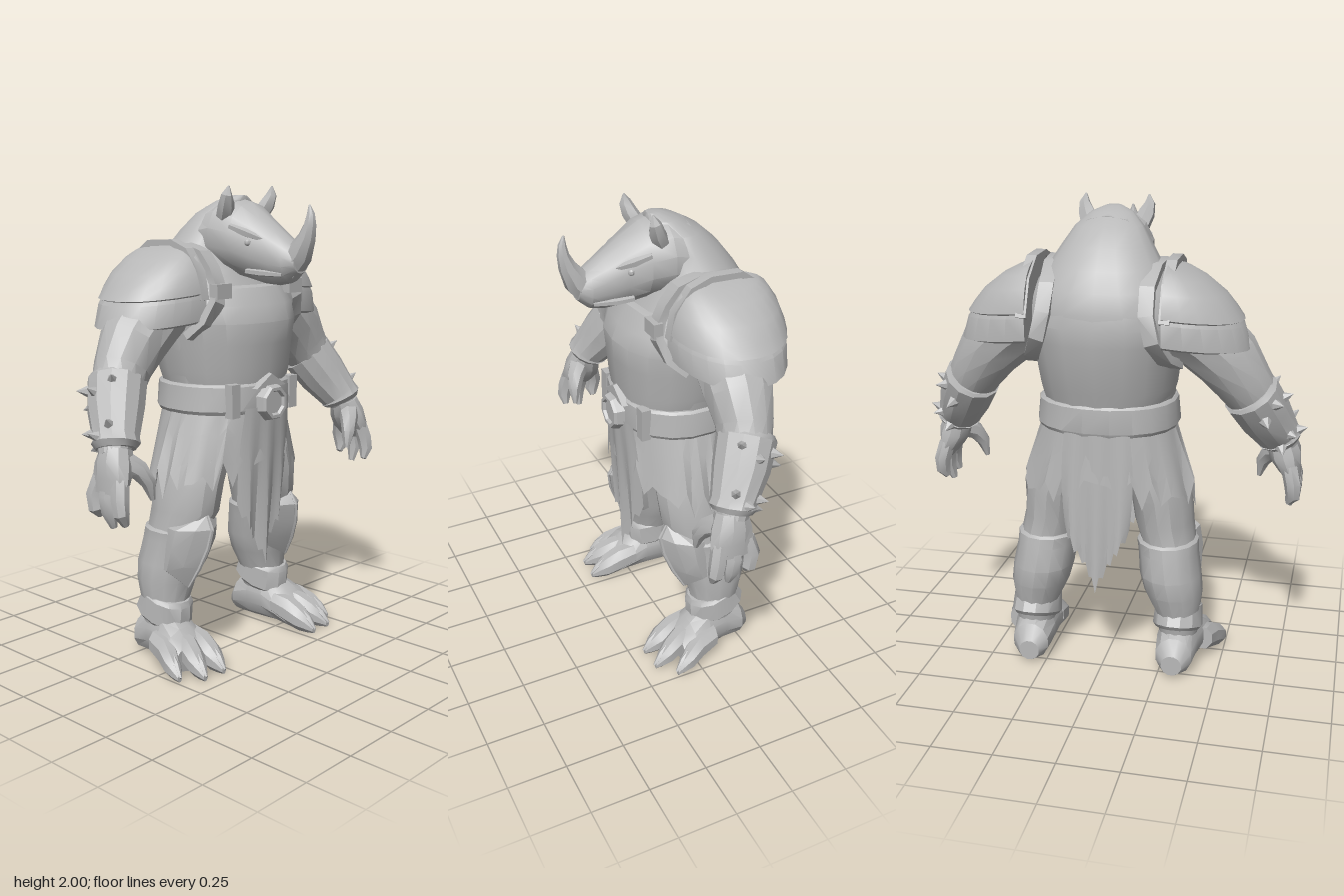
import * as THREE from 'three';
import { toCreasedNormals, mergeVertices } from 'three/addons/utils/BufferGeometryUtils.js';
import { ConvexGeometry } from 'three/addons/geometries/ConvexGeometry.js';

const V = (x, y, z) => new THREE.Vector3(x, y, z);
const UP = V(0, 1, 0), FRONT = V(0, 0, 1);
const spow = (v, p) => Math.sign(v) * Math.abs(v) ** p;

// Skin a list of rings with equal point counts; solids are turned to face outward.
function loft(rings, { closed = true, cap = true } = {}) {
  const n = rings[0].length, pos = [], idx = [];
  rings.forEach(r => r.forEach(p => pos.push(p.x, p.y, p.z)));
  for (let j = 0; j < rings.length - 1; j++) {
    for (let i = 0; i < (closed ? n : n - 1); i++) {
      const a = j * n + i, b = j * n + (i + 1) % n;
      idx.push(a, b, b + n, a, b + n, a + n);
    }
  }
  if (cap) {
    [0, rings.length - 1].forEach((j, end) => {
      const c = rings[j].reduce((s, p) => s.add(p), V(0, 0, 0)).divideScalar(n);
      const k = pos.length / 3;
      pos.push(c.x, c.y, c.z);
      for (let i = 0; i < n; i++) {
        const a = j * n + i, b = j * n + (i + 1) % n;
        end ? idx.push(k, a, b) : idx.push(k, b, a);
      }
    });
    const at = i => V(pos[3 * i], pos[3 * i + 1], pos[3 * i + 2]);
    let vol = 0;
    for (let i = 0; i < idx.length; i += 3) vol += at(idx[i]).dot(at(idx[i + 1]).cross(at(idx[i + 2])));
    if (vol < 0) idx.reverse();
  }
  const g = new THREE.BufferGeometry();
  g.setAttribute('position', new THREE.Float32BufferAttribute(pos, 3));
  g.setIndex(idx);
  return g;
}

// Elliptical sections [x, y, z, r, r2] along a path, or in planes of a fixed axis.
function limb(sections, { sides = 12, axis = null, power = 1, minY = -1 } = {}) {
  const c = sections.map(s => V(s[0], s[1], s[2]));
  return loft(sections.map((s, j) => {
    const t = axis || c[Math.min(j + 1, c.length - 1)].clone().sub(c[Math.max(j - 1, 0)]).normalize();
    const u = V(1, 0, 0).addScaledVector(t, -t.x).normalize();
    const w = t.clone().cross(u);
    return Array.from({ length: sides }, (_, i) => {
      const a = (i + 0.5) / sides * Math.PI * 2;
      const p = c[j].clone().addScaledVector(u, s[3] * spow(Math.cos(a), power))
        .addScaledVector(w, (s[4] ?? s[3]) * spow(Math.sin(a), power));
      p.y = Math.max(p.y, minY);
      return p;
    });
  }));
}

// Half-oval rings [y, rx, rz] for a shoulder plate, drooping outward.
const padLoft = rows => loft(rows.map(([y, rx, rz]) => Array.from({ length: 13 }, (_, i) => {
  const a = (i / 12 - 0.5) * Math.PI;
  const x = rx * Math.cos(a);
  return V(0.27 + x, y + 0.03 - 0.1 * x, -0.165 + rz * spow(Math.sin(a), 0.9));
})));

const box = (w, h, d, x, y, z) => new THREE.BoxGeometry(w, h, d).translate(x, y, z);

export function createModel() {
  const model = new THREE.Group();
  const clay = new THREE.MeshStandardMaterial({ color: 0xb8b8b8, side: THREE.DoubleSide });
  clay.name = 'clay grey';

  const add = (name, geo, crease = 0.5) => {
    geo.deleteAttribute('uv');
    geo.deleteAttribute('normal');
    const mesh = new THREE.Mesh(toCreasedNormals(mergeVertices(geo, 1e-5), crease), clay);
    mesh.name = name;
    model.add(mesh);
  };
  // Add a part on the left (+x) and its mirror image on the right.
  const pair = (name, geo, crease) => {
    const m = geo.index ? geo.toNonIndexed() : geo.clone();
    m.scale(-1, 1, 1);
    const p = m.attributes.position;
    for (let i = 0; i < p.count; i += 3) {
      const a = V().fromBufferAttribute(p, i + 1), b = V().fromBufferAttribute(p, i + 2);
      p.setXYZ(i + 1, b.x, b.y, b.z);
      p.setXYZ(i + 2, a.x, a.y, a.z);
    }
    add('left' + name, geo, crease);
    add('right' + name, m, crease);
  };

  // Body, hump and armour
  add('body', limb([[0, 0.95, -0.09, 0.2, 0.2], [0, 1.1, -0.08, 0.27, 0.235], [0, 1.3, -0.1, 0.285, 0.255],
    [0, 1.5, -0.125, 0.35, 0.272], [0, 1.58, -0.145, 0.34, 0.245], [0, 1.66, -0.155, 0.29, 0.22],
    [0, 1.74, -0.145, 0.235, 0.18], [0, 1.82, -0.115, 0.185, 0.148], [0, 1.89, -0.08, 0.14, 0.105],
    [0, 1.94, -0.03, 0.085, 0.065], [0, 1.962, 0, 0.03, 0.03]], { sides: 18, axis: UP }));
  add('breastplate', limb([[0, 1.18, -0.085, 0.265, 0.245], [0, 1.25, -0.09, 0.285, 0.26],
    [0, 1.36, -0.1, 0.3, 0.28], [0, 1.45, -0.103, 0.32, 0.29], [0, 1.52, -0.12, 0.33, 0.28],
    [0, 1.59, -0.135, 0.31, 0.25], [0, 1.6, -0.14, 0.28, 0.23]], { sides: 18, axis: UP, power: 0.9 }));
  add('belt', limb([[0, 1.075, -0.085, 0.29, 0.255], [0, 1.09, -0.085, 0.3, 0.262],
    [0, 1.19, -0.085, 0.29, 0.258], [0, 1.2, -0.085, 0.28, 0.248]], { sides: 20, axis: UP, power: 0.9 }));
  add('buckle', new THREE.CylinderGeometry(0.076, 0.085, 0.04, 8).rotateX(Math.PI / 2).rotateZ(Math.PI / 8).translate(0, 1.115, 0.18));
  add('buckleRim', new THREE.TorusGeometry(0.062, 0.014, 6, 8).rotateZ(Math.PI / 8).translate(0, 1.115, 0.2));
  add('beltPeak', new ConvexGeometry([V(-0.1, 1.18, 0.14), V(0.1, 1.18, 0.14), V(0, 1.245, 0.14),
    V(-0.09, 1.18, 0.185), V(0.09, 1.18, 0.185), V(0, 1.235, 0.185)]));
  pair('BeltLoop', box(0.05, 0.14, 0.04, 0.18, 1.135, 0.13));

  // Shoulder straps, turning out under the arms, and shoulder plates
  pair('Strap', limb([[0.3, 1.4, 0.0], [0.275, 1.46, 0.07], [0.24, 1.54, 0.1], [0.222, 1.61, 0.085], [0.22, 1.67, 0.055],
    [0.22, 1.73, 0.005], [0.218, 1.755, -0.08], [0.21, 1.745, -0.2], [0.2, 1.68, -0.305], [0.205, 1.58, -0.36],
    [0.23, 1.48, -0.365], [0.27, 1.4, -0.3], [0.3, 1.36, -0.2]].map(p => [...p, 0.042, 0.024]), { sides: 4 }));
  pair('StrapBuckle', box(0.085, 0.06, 0.04, 0.222, 1.585, 0.1).translate(0, 0, 0.005));
  pair('LowerShoulderPlate', padLoft([[1.43, 0.28, 0.218], [1.44, 0.325, 0.232], [1.53, 0.295, 0.236], [1.58, 0.25, 0.215]]));
  pair('UpperShoulderPlate', padLoft([[1.535, 0.26, 0.22], [1.55, 0.295, 0.238], [1.59, 0.265, 0.232], [1.64, 0.22, 0.215],
    [1.69, 0.145, 0.183], [1.715, 0.085, 0.15], [1.735, 0.01, 0.1]]));
  pair('ShoulderRim', limb([[1.55, 0.065], [1.66, 0.045], [1.745, -0.02], [1.775, -0.1], [1.77, -0.23],
    [1.7, -0.335], [1.56, -0.395]].map(([y, z]) => [0.282, y, z, 0.03, 0.018]), { sides: 4 }));

  // Head
  add('head', limb([[0, 1.78, -0.12, 0.18, 0.15], [0, 1.795, -0.02, 0.175, 0.165], [0, 1.78, 0.07, 0.15, 0.155],
    [0, 1.745, 0.15, 0.112, 0.138], [0, 1.715, 0.23, 0.09, 0.112], [0, 1.7, 0.29, 0.075, 0.085],
    [0, 1.7, 0.335, 0.048, 0.045]], { sides: 14, axis: FRONT }));
  add('horn', limb([[0, 1.68, 0.27, 0.06, 0.065], [0, 1.735, 0.33, 0.053, 0.055], [0, 1.8, 0.365, 0.038, 0.036],
    [0, 1.85, 0.38, 0.028, 0.024], [0, 1.89, 0.382, 0.018, 0.016], [0, 1.925, 0.375, 0.004, 0.004]], { sides: 8 }));
  pair('Ear', limb([[0.108, 1.88, 0.02, 0.038, 0.035], [0.126, 1.925, 0.045, 0.036, 0.033],
    [0.137, 1.965, 0.058, 0.022, 0.025], [0.132, 2, 0.065, 0.003, 0.003]], { sides: 6 }));
  pair('Brow', limb([[0.135, 1.84, 0.07, 0.012], [0.112, 1.815, 0.13, 0.018], [0.07, 1.785, 0.2, 0.01]], { sides: 5 }));
  pair('Eye', new THREE.SphereGeometry(0.014, 8, 6).translate(0.107, 1.775, 0.145));
  pair('MouthLip', limb([[0.1, 1.66, 0.13, 0.012], [0.09, 1.655, 0.2, 0.014], [0.06, 1.65, 0.285, 0.01]], { sides: 5 }));

  // Arms, spiked bracers and hands
  pair('Arm', limb([[0.3, 1.53, -0.145, 0.13, 0.16], [0.41, 1.46, -0.135, 0.145, 0.148], [0.495, 1.38, -0.125, 0.138, 0.137],
    [0.56, 1.285, -0.115, 0.118, 0.115], [0.62, 1.19, -0.09, 0.105, 0.1], [0.685, 1.08, -0.02, 0.085, 0.085],
    [0.73, 0.98, 0.02, 0.06, 0.06]]));
  const bracer = [[0.585, 1.245, -0.115, 0.108], [0.592, 1.235, -0.11, 0.12], [0.645, 1.14, -0.06, 0.114],
    [0.7, 1.04, 0, 0.092], [0.706, 1.025, 0.005, 0.097], [0.712, 1.005, 0.012, 0.08]];
  pair('Bracer', limb(bracer));
  [[0.61, 1.2, -0.1, 0.112], [0.69, 1.06, -0.015, 0.088]].forEach(([x, y, z, r], row) => {
    const t = V(0.1, -0.2, 0.11).normalize(), u = V(1, 0, 0).addScaledVector(t, -t.x).normalize();
    const w = t.clone().cross(u).multiplyScalar(-1);
    for (let i = 0; i < 4; i++) {
      const a = -0.85 + i * 0.68 + row * 0.15;
      const d = u.clone().multiplyScalar(Math.cos(a)).addScaledVector(w, Math.sin(a));
      const c = V(x, y, z).addScaledVector(t, i % 2 ? 0.035 : 0).addScaledVector(d, r + 0.01);
      pair('BracerSpike', new THREE.ConeGeometry(0.034, 0.066, 6)
        .applyQuaternion(new THREE.Quaternion().setFromUnitVectors(UP, d)).translate(c.x, c.y, c.z), 0.3);
    }
  });
  pair('Palm', limb([[0.715, 1.01, 0.018, 0.062, 0.065], [0.733, 0.95, 0.025, 0.07, 0.085], [0.755, 0.89, 0.03, 0.05, 0.095],
    [0.775, 0.84, 0.03, 0.03, 0.08]], { sides: 10 }));
  [[-0.045, 0.745], [0.03, 0.71], [0.1, 0.73]].forEach(([z, tip]) =>
    pair('Finger', limb([[0.757, 0.9, 0.03 + (z - 0.03) * 0.75, 0.036], [0.775, 0.83, z, 0.036], [0.777, 0.775, z + 0.01, 0.032],
      [0.757, tip, z + 0.012, 0.014]], { sides: 7 })));
  pair('Thumb', limb([[0.715, 0.96, 0.05, 0.05], [0.665, 0.925, 0.09, 0.04], [0.635, 0.875, 0.11, 0.03],
    [0.62, 0.805, 0.115, 0.01]], { sides: 7 }));

  // Torn skirt and the long front and back cloths
  const N = 48;
  add('skirt', loft([0, 0.35, 0.7, 1].map(t => Array.from({ length: N }, (_, i) => {
    const a = i / N * Math.PI * 2, side = Math.abs(Math.cos(a));
    const low = 0.87 - 0.1 * side + 0.035 * Math.sin(i * 2.3) + (i % 2 ? 0.045 : -0.02);
    const f = 1 + (i % 4 < 2 ? 0.012 : -0.012) * t;
    return V((0.28 + 0.09 * t) * f * Math.cos(a), 1.1 + (low - 1.1) * t, -0.09 + (0.242 + 0.015 * t) * f * Math.sin(a));
  })), { cap: false }));
  const cloth = (top, bottom, sign) => loft([0, 0.3, 0.6, 0.85, 1].map(t => Array.from({ length: 19 }, (_, i) => {
    const k = i / 9 - 1, x = k * (0.135 + 0.015 * Math.sin(t * 3));
    const low = 0.4 + 0.25 * Math.abs(k) ** 0.9 + (i % 2 || i === 9 ? 0 : 0.035);
    const fold = 0.012 * Math.cos(k * 9) * t - 0.02 * k * k;
    return V(x, 1.1 + (low - 1.1) * t, top + (bottom - top) * t + sign * fold);
  })), { closed: false, cap: false });
  add('frontCloth', cloth(0.18, 0.145, 1));
  add('backCloth', cloth(-0.34, -0.355, -1));

  // Legs, boots and knee guards
  pair('Leg', limb([[0.14, 1.06, -0.09, 0.11, 0.17], [0.185, 0.92, -0.09, 0.135, 0.185], [0.23, 0.78, -0.09, 0.13, 0.18],
    [0.243, 0.66, -0.09, 0.125, 0.165], [0.27, 0.56, -0.115, 0.115, 0.14], [0.285, 0.45, -0.14, 0.115, 0.13]],
    { sides: 14, axis: UP }));
  pair('Boot', limb([[0.26, 0.585, -0.115, 0.12, 0.14], [0.263, 0.575, -0.115, 0.132, 0.152],
    [0.268, 0.53, -0.125, 0.128, 0.15], [0.282, 0.43, -0.145, 0.132, 0.147], [0.297, 0.35, -0.15, 0.125, 0.132],
    [0.315, 0.25, -0.145, 0.095, 0.108], [0.32, 0.16, -0.14, 0.085, 0.1]], { sides: 14, axis: UP }));
  pair('AnkleCuff', limb([[0.318, 0.285, -0.12, 0.09, 0.1], [0.318, 0.275, -0.122, 0.102, 0.115],
    [0.318, 0.19, -0.15, 0.108, 0.138], [0.318, 0.175, -0.155, 0.095, 0.12]], { sides: 12 }));
  pair('KneeGuard', new ConvexGeometry([V(0.265, 0.66, 0.065), V(0.272, 0.6, 0.098), V(0.285, 0.52, 0.085), V(0.3, 0.43, 0.05),
    V(0.315, 0.335, 0.0), V(0.335, 0.6, 0.06), V(0.36, 0.44, 0.015), V(0.205, 0.6, 0.06), V(0.225, 0.44, 0.015),
    V(0.385, 0.6, -0.005), V(0.4, 0.42, -0.045), V(0.15, 0.61, 0.005), V(0.17, 0.42, -0.035), V(0.145, 0.52, -0.005),
    V(0.4, 0.52, -0.015), V(0.375, 0.6, -0.06), V(0.39, 0.42, -0.08), V(0.16, 0.6, -0.05), V(0.18, 0.42, -0.07),
    V(0.265, 0.65, 0.03), V(0.315, 0.345, -0.03)]), 0.3);
  pair('KneeRidge', limb([[0.267, 0.655, 0.067, 0.006], [0.272, 0.6, 0.099, 0.008], [0.285, 0.52, 0.086, 0.008],
    [0.3, 0.43, 0.051, 0.008], [0.315, 0.34, 0.002, 0.005]], { sides: 5 }));

  // Feet with three broad, pointed toes
  pair('Foot', limb([[0.315, 0.06, -0.3, 0.045, 0.045], [0.318, 0.085, -0.26, 0.08, 0.085], [0.32, 0.11, -0.17, 0.092, 0.11],
    [0.33, 0.11, -0.08, 0.1, 0.11], [0.345, 0.085, 0, 0.112, 0.085], [0.35, 0.055, 0.06, 0.11, 0.06]],
    { axis: FRONT, minY: 0 }));
  [[0.285, 0.3, 0.19], [0.365, 0.405, 0.185], [0.43, 0.485, 0.115]].forEach(([b, x, z]) => {
    const mid = b + (x - b) * 0.5;
    pair('Toe', limb([[b - 0.01, 0.1, z - 0.21, 0.045, 0.055], [b, 0.08, z - 0.13, 0.055, 0.065], [mid, 0.055, z - 0.07, 0.05, 0.056],
      [mid + (x - mid) * 0.6, 0.036, z - 0.03, 0.032, 0.038], [x, 0.016, z, 0.012, 0.016]],
      { sides: 8, axis: FRONT, minY: 0 }));
    pair('Claw', limb([[mid, 0.085, z - 0.08, 0.022], [mid + (x - mid) * 0.6, 0.058, z - 0.035, 0.02], [x, 0.02, z + 0.005, 0.006]],
      { sides: 6, minY: 0 }));
  });
  return model;
}
